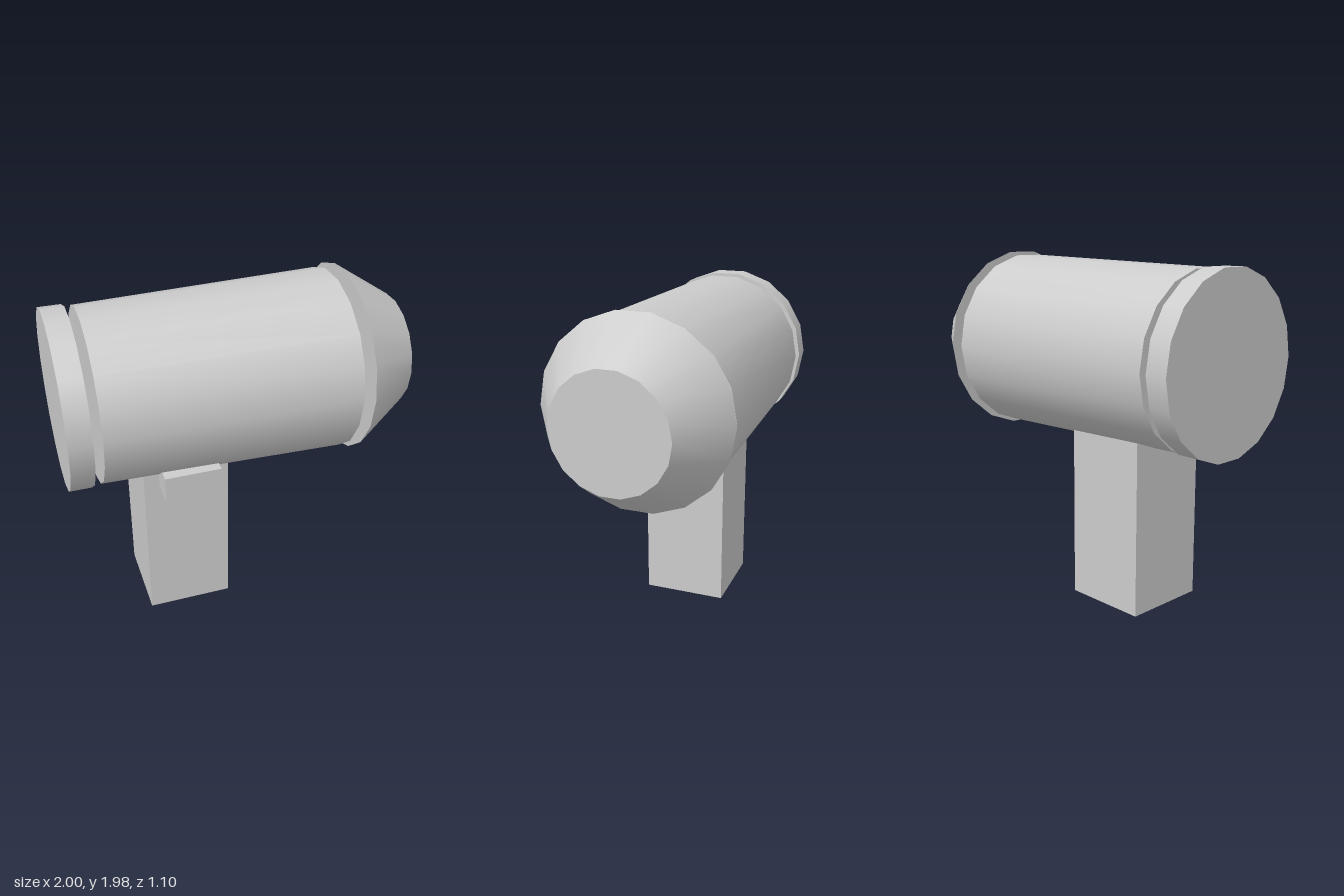
import * as THREE from 'three';

export function createModel() {
  const model = new THREE.Group();
  const grey = new THREE.MeshStandardMaterial({ color: 0xcccccc });
  grey.name = 'light grey';

  const SIDES = 18, AXIS_Y = 1.44;

  function add(name, geometry, x, y, z) {
    const mesh = new THREE.Mesh(geometry, grey);
    mesh.name = name;
    mesh.position.set(x, y, z);
    model.add(mesh);
  }

  // Capped drum lying along x, tapering from radius r0 at x0 to r1 at x1
  function drum(name, x0, x1, r0, r1) {
    const geometry = new THREE.CylinderGeometry(r1, r0, x1 - x0, SIDES).rotateZ(-Math.PI / 2);
    add(name, geometry, (x0 + x1) / 2, AXIS_Y, 0);
  }

  // Box given by its limits on each axis
  function block(name, [x0, x1], [y0, y1], [z0, z1]) {
    add(name, new THREE.BoxGeometry(x1 - x0, y1 - y0, z1 - z0),
      (x0 + x1) / 2, (y0 + y1) / 2, (z0 + z1) / 2);
  }

  // Head: three drums separated by narrow gaps
  drum('endCap', -1, -0.87, 0.508, 0.508);
  drum('barrel', -0.82, 0.61, 0.497, 0.53);
  drum('taperedNose', 0.67, 1, 0.55, 0.332);

  // Handle running up into the barrel, with a trigger block on its front
  block('handle', [-0.58, -0.08], [0, 1.1], [-0.25, 0.25]);
  block('trigger', [-0.49, -0.165], [0.92, 1.07], [0.2, 0.4]);

  return model;
}
